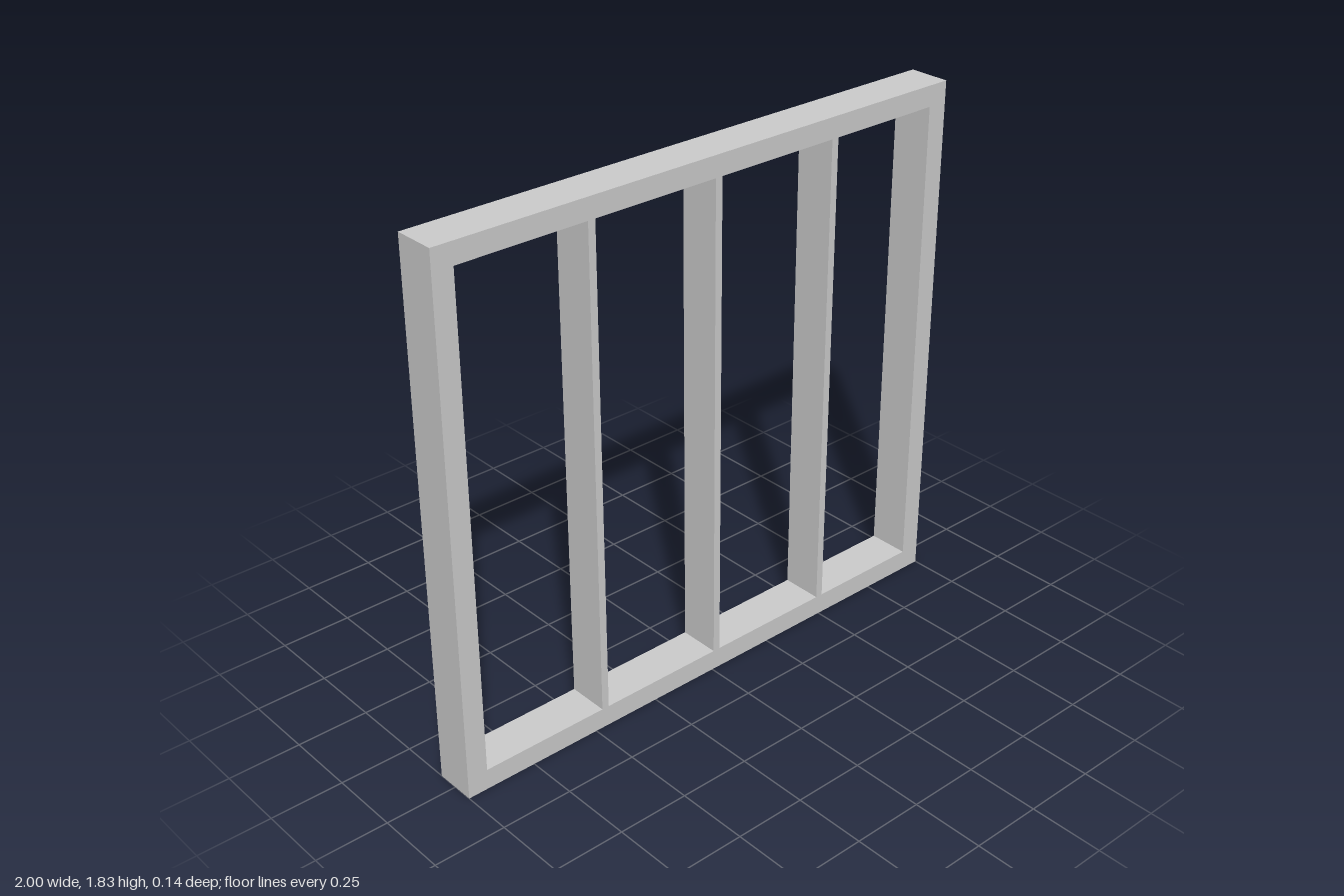
import * as THREE from 'three';

const WIDTH = 2, HEIGHT = 1.83, DEPTH = 0.145, BORDER = 0.072;
const BAR = 0.026, BAR_CENTRES = [-0.46, 0.019, 0.501];

// Adds a rectangular outline to a path or shape
function rect(path, x0, y0, x1, y1) {
  path.moveTo(x0, y0);
  path.lineTo(x1, y0);
  path.lineTo(x1, y1);
  path.lineTo(x0, y1);
  path.closePath();
  return path;
}

export function createModel() {
  const group = new THREE.Group();
  group.name = 'windowFrame';
  const material = new THREE.MeshStandardMaterial({ color: 0xcccccc });

  // Outer border and flush upright bars, cut from one slab
  const outline = rect(new THREE.Shape(), -WIDTH / 2, 0, WIDTH / 2, HEIGHT);

  // One opening between each pair of neighbouring uprights
  const inner = WIDTH / 2 - BORDER;
  const lefts = [-inner, ...BAR_CENTRES.map((x) => x + BAR / 2)];
  const rights = [...BAR_CENTRES.map((x) => x - BAR / 2), inner];
  lefts.forEach((x, i) => {
    outline.holes.push(rect(new THREE.Path(), x, BORDER, rights[i], HEIGHT - BORDER));
  });

  const geometry = new THREE.ExtrudeGeometry(outline, { depth: DEPTH, bevelEnabled: false });
  geometry.translate(0, 0, -DEPTH / 2);
  const frame = new THREE.Mesh(geometry, material);
  frame.name = 'frameWithBars';
  group.add(frame);
  return group;
}
